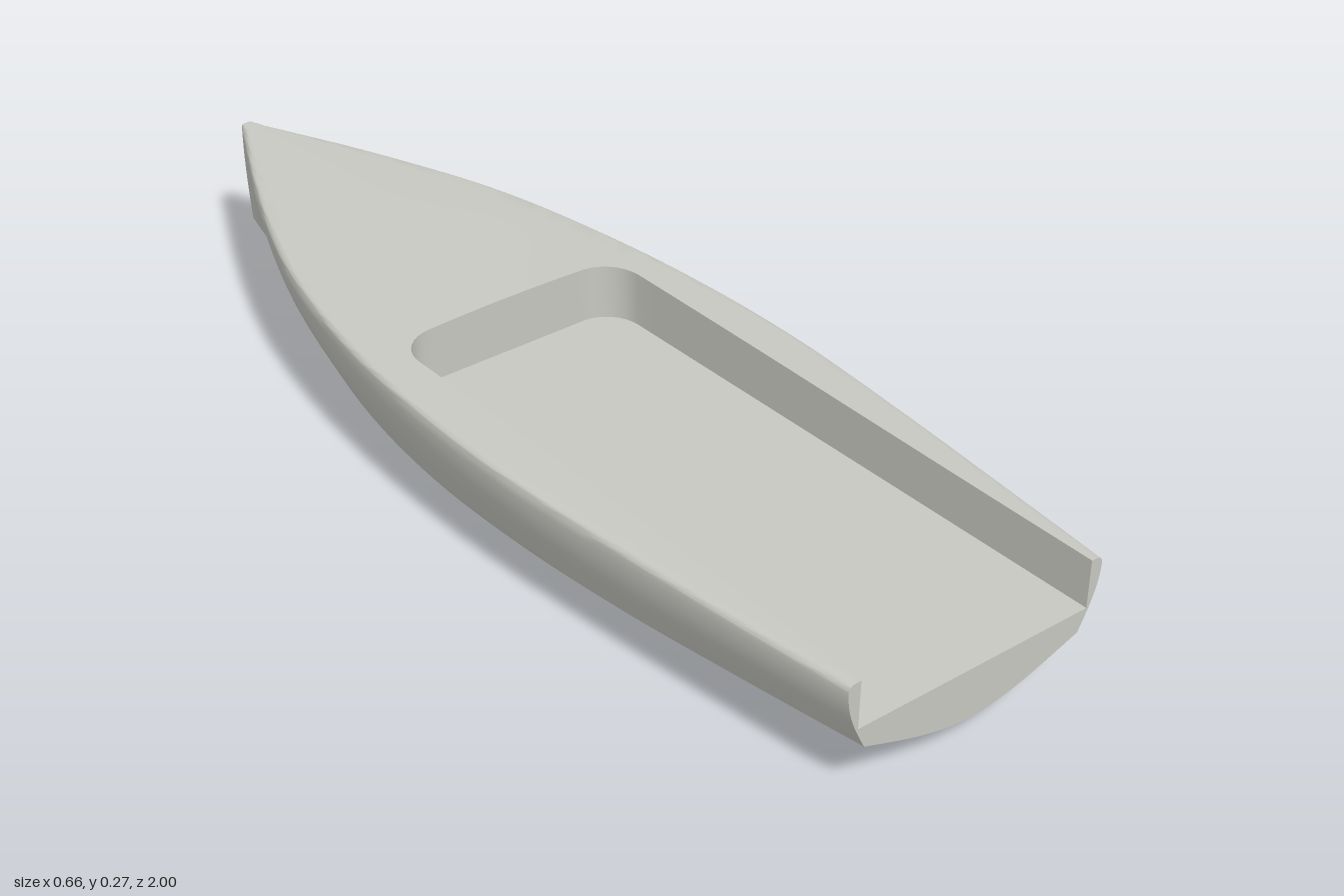
import * as THREE from 'three';
import { toCreasedNormals } from 'three/addons/utils/BufferGeometryUtils.js';

// Hull lines at nine even stations from bow (z = -1) to stern (z = 1)
const LINES = {
  beam: [0.012, 0.138, 0.238, 0.296, 0.324, 0.329, 0.313, 0.29, 0.264],
  chineX: [0, 0.075, 0.175, 0.245, 0.28, 0.286, 0.275, 0.252, 0.225],
  chineY: [0.06, 0.07, 0.075, 0.077, 0.078, 0.082, 0.09, 0.1, 0.11],
  keel: [0.06, 0.03, 0.012, 0.002, 0, 0.005, 0.017, 0.035, 0.055],
  deck: [0.271, 0.268, 0.265, 0.26, 0.258, 0.2555, 0.252, 0.249, 0.247],
};
const FLOOR = 0.15, WELL_X = 0.24, WELL_Z = -0.16, CORNER = 0.07;

// Smooth interpolation along a hull line
function line(name, z) {
  const v = LINES[name], f = (z + 1) * 4, i = Math.min(7, Math.floor(f)), t = f - i;
  const a = i > 0 ? v[i - 1] : 2 * v[0] - v[1];
  const d = i < 7 ? v[i + 2] : 2 * v[8] - v[7];
  const b = v[i], c = v[i + 1];
  return b + 0.5 * t * (c - a + t * (2 * a - 5 * b + 4 * c - d + t * (3 * (b - c) + d - a)));
}

// Gently crowned deck surface
function deckY(x, z) {
  const b = line('beam', z);
  return line('deck', z) - 0.035 * b * (x / b) ** 2;
}
const edgeRadius = (z) => Math.min(0.012, line('beam', z) * 0.5);

// Half section: S-curved bottom, chine, rounded topside, rounded gunwale
function section(z) {
  const b = line('beam', z), cx = line('chineX', z), cy = line('chineY', z), k = line('keel', z);
  const r = edgeRadius(z), top = deckY(b - r, z), pts = [];
  for (let i = 0; i <= 10; i++) {
    const t = i / 10;
    pts.push([cx * t, k + (cy - k) * t * t * (1.6 - 0.6 * t), z]);
  }
  for (let i = 1; i <= 10; i++) {
    const t = i / 10;
    pts.push([cx + (b - cx) * Math.sin(t * Math.PI / 2), cy + (top - r - cy) * t, z]);
  }
  for (let i = 1; i <= 5; i++) {
    const a = i / 5 * Math.PI / 2;
    pts.push([b - r + r * Math.cos(a), top - r + r * Math.sin(a), z]);
  }
  return pts;
}

// Deck strip from the gunwale inward to x = inner
function deckRow(z, inner) {
  const outer = line('beam', z) - edgeRadius(z);
  return Array.from({ length: 9 }, (_, i) => {
    const x = outer + (inner - outer) * i / 8;
    return [x, deckY(x, z), z];
  });
}

// Adds a grid of faces and its mirror image across x = 0
function addMirrored(out, rows) {
  for (let i = 0; i < rows.length - 1; i++) {
    for (let j = 0; j < rows[0].length - 1; j++) {
      const a = rows[i][j], b = rows[i][j + 1], c = rows[i + 1][j + 1], d = rows[i + 1][j];
      const m = ([x, y, z]) => [-x, y, z];
      out.push(...a, ...b, ...c, ...a, ...c, ...d);
      out.push(...m(a), ...m(c), ...m(b), ...m(a), ...m(d), ...m(c));
    }
  }
}

function creased(positions, angle) {
  const g = new THREE.BufferGeometry();
  g.setAttribute('position', new THREE.Float32BufferAttribute(positions, 3));
  return toCreasedNormals(g, angle);
}

// Flat face from half an outline and its mirror image
function mirroredFace(half) {
  const left = half.map(([x, y]) => new THREE.Vector2(x, y));
  const right = half.filter(([x]) => x > 1e-5).map(([x, y]) => new THREE.Vector2(-x, y)).reverse();
  return new THREE.ShapeGeometry(new THREE.Shape([...left, ...right]));
}

export function createModel() {
  const boat = new THREE.Group();
  boat.name = 'boat';
  const paint = new THREE.MeshStandardMaterial({ color: 0xc8c8c2 });
  paint.name = 'light grey';
  const add = (name, geometry) => {
    const mesh = new THREE.Mesh(geometry, paint);
    mesh.name = name;
    boat.add(mesh);
    return mesh;
  };

  // Stations, closer together round the corners of the well
  const fore = [], aft = [];
  for (let i = 0; i <= 30; i++) fore.push(-1 + (WELL_Z + 1) * i / 30);
  for (let i = 0; i <= 8; i++) {
    const a = i / 8 * Math.PI / 2;
    aft.push([WELL_Z + CORNER * (1 - Math.cos(a)), WELL_X - CORNER * (1 - Math.sin(a))]);
  }
  const aftStart = WELL_Z + CORNER;
  for (let i = 1; i <= 30; i++) aft.push([aftStart + (1 - aftStart) * i / 30, WELL_X]);

  // Hull and deck share one surface so the gunwale stays smooth
  const shell = [];
  addMirrored(shell, [...fore, ...aft.slice(1).map(([z]) => z)].map(section));
  addMirrored(shell, fore.map((z) => deckRow(z, 0)));
  addMirrored(shell, aft.map(([z, x]) => deckRow(z, x)));
  add('hullAndDeck', creased(shell, 0.6));

  // Open well: walls with rounded forward corners, and a level floor
  const path = aft.map(([z, x]) => [x, z]).reverse();
  for (let i = 1; i <= 6; i++) path.push([(WELL_X - CORNER) * (1 - i / 6), WELL_Z]);
  const walls = [];
  addMirrored(walls, path.map(([x, z]) => [[x, FLOOR, z], [x, deckY(x, z), z]]));
  add('wellWalls', creased(walls, 0.6));
  const floor = mirroredFace(path.map(([x, z]) => [x, -z]));
  floor.rotateX(-Math.PI / 2);
  add('wellFloor', floor).position.y = FLOOR;

  // Transom, cut away above the floor
  const transom = [...section(1), [WELL_X, deckY(WELL_X, 1)], [WELL_X, FLOOR]];
  add('transom', mirroredFace(transom)).position.z = 1;

  // Narrow stem face at the bow
  const stem = mirroredFace([...section(-1).slice(10), [0, deckY(0, -1)]]);
  stem.rotateY(Math.PI);
  add('stem', stem).position.z = -1;

  return boat;
}
